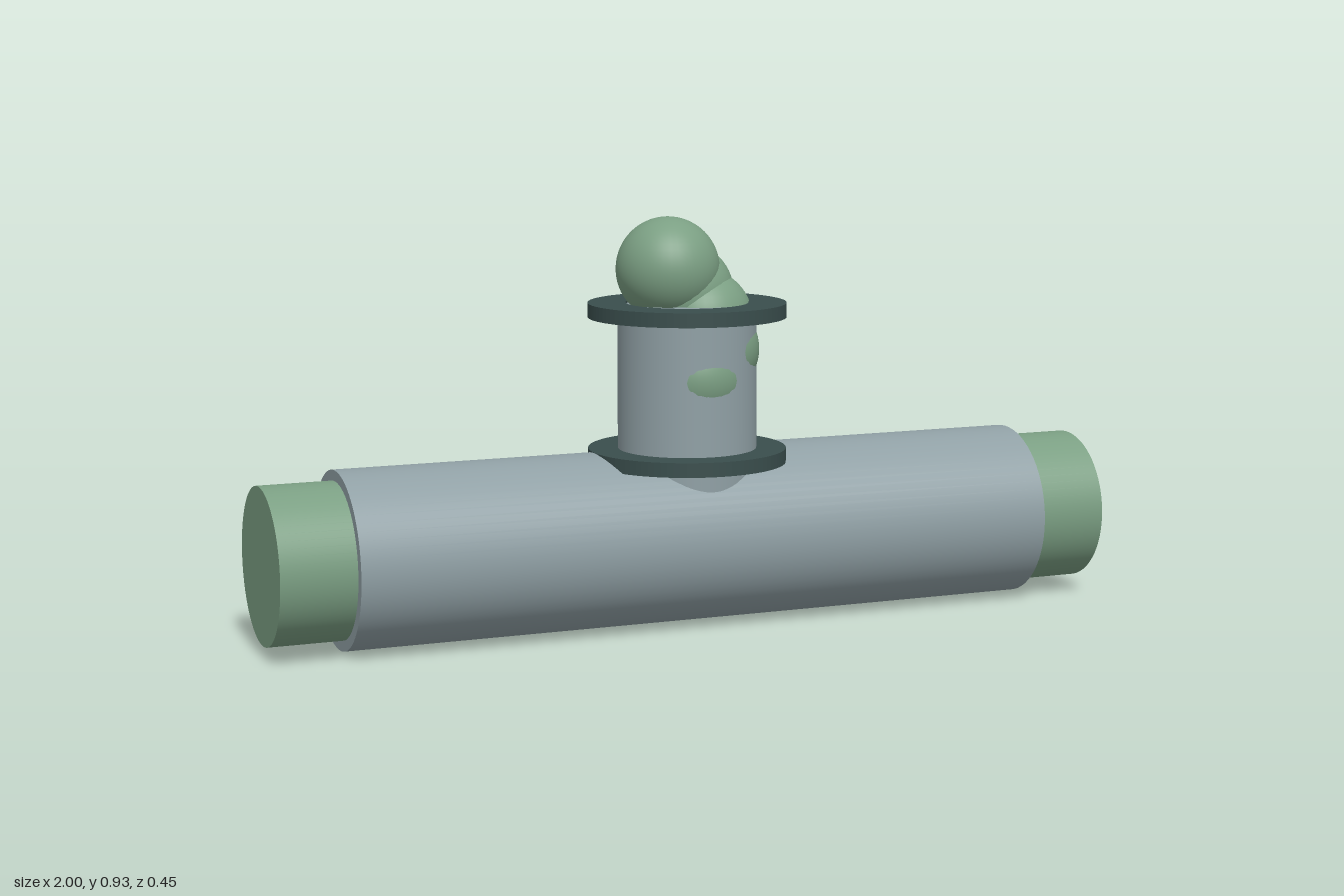
import * as THREE from 'three';

const steel = new THREE.MeshStandardMaterial({ color: 0x90a0a5 });
const green = new THREE.MeshStandardMaterial({ color: 0x7b9f83 });
const dark = new THREE.MeshStandardMaterial({ color: 0x3a4e4d });

export function createModel() {
  const group = new THREE.Group();

  const add = (name, geometry, material, x = 0, y = 0, z = 0) => {
    const mesh = new THREE.Mesh(geometry, material);
    mesh.name = name;
    mesh.position.set(x, y, z);
    group.add(mesh);
    return mesh;
  };

  // Horizontal pipe with a green core showing at both ends
  add('mainPipe', new THREE.CylinderGeometry(0.2, 0.2, 1.66, 64), steel, 0, 0.2).rotation.z = Math.PI / 2;
  add('core', new THREE.CylinderGeometry(0.176, 0.176, 2, 64), green, 0, 0.2).rotation.z = Math.PI / 2;

  // Vertical branch, sunk into the pipe
  add('branchPipe', new THREE.CylinderGeometry(0.159, 0.159, 0.53, 64), steel, 0, 0.465);

  // Flange rings around the branch
  const ring = new THREE.Shape().absarc(0, 0, 0.227, 0, Math.PI * 2);
  ring.holes.push(new THREE.Path().absarc(0, 0, 0.14, 0, Math.PI * 2, true));
  const flange = new THREE.ExtrudeGeometry(ring, { depth: 0.033, bevelEnabled: false, curveSegments: 48 });
  flange.rotateX(-Math.PI / 2);
  add('lowerFlange', flange, dark, 0, 0.368);
  add('upperFlange', flange, dark, 0, 0.702);

  // Spiral of overlapping blobs climbing out of the branch
  const blob = new THREE.SphereGeometry(0.119, 40, 28);
  for (let i = 0; i < 5; i++) {
    add('blob' + (i + 1), blob, green, 0.047 * Math.sin(i), 0.57 + 0.06 * i, 0.045 * Math.cos(i));
  }
  return group;
}
